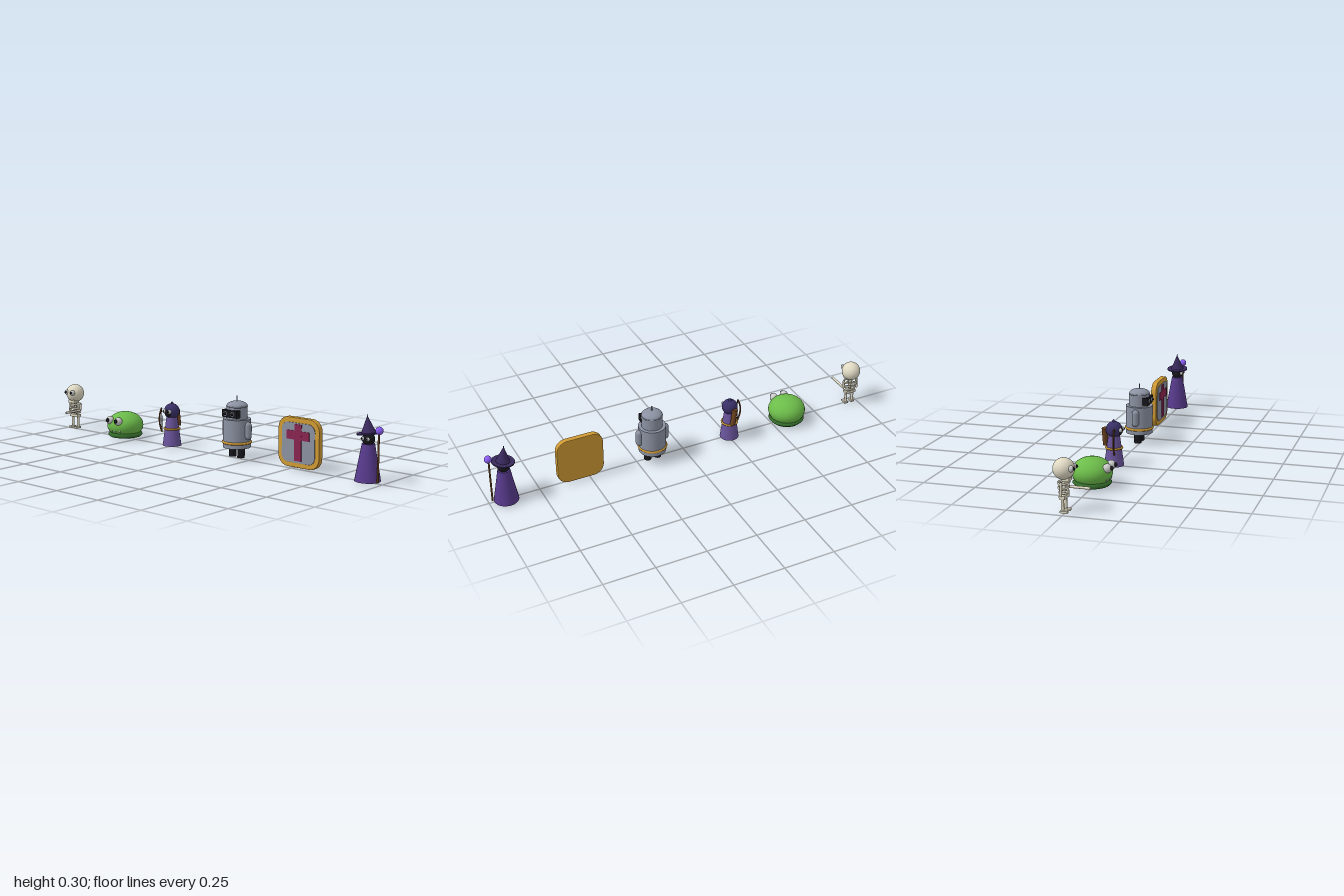
import * as THREE from 'three';

const C = {
  bone: 0xe0dac4, green: 0x6cbc4a, darkGreen: 0x35702c, robe: 0x573a8c, hat: 0x3a2a5e, cloak: 0x6a549c,
  hood: 0x3a3068, gold: 0xd09a34, steel: 0x8c92a2, red: 0x8a2450, black: 0x17171c, brown: 0x6e4420,
  orb: 0x8a5cf0, white: 0xe6e6e6,
};
const mats = {};
const mat = (c) => (mats[c] ??= new THREE.MeshStandardMaterial({ color: C[c] }));

// Adds a named mesh at a position
function add(group, name, geo, color, x = 0, y = 0, z = 0) {
  const m = new THREE.Mesh(geo, mat(color));
  m.name = name;
  m.position.set(x, y, z);
  group.add(m);
  return m;
}
const ball = (r) => new THREE.SphereGeometry(r, 28, 18);
const tube = (rTop, rBottom, h, n = 24) => new THREE.CylinderGeometry(rTop, rBottom, h, n);
const ring = (R, r) => new THREE.TorusGeometry(R, r, 10, 36).rotateX(Math.PI / 2);

function figure(name, x) {
  const g = new THREE.Group();
  g.name = name;
  g.position.set(x, 0, -0.007);
  return g;
}

// Pair of round eyes with raised pupils
function eyes(g, dx, y, z, r) {
  for (const s of [-1, 1]) {
    add(g, 'eye', ball(r), 'white', s * dx, y, z);
    add(g, 'pupil', ball(r * 0.5), 'black', s * dx, y + r * 0.1, z + r * 0.85);
  }
}

function skeleton() {
  const g = figure('skeleton', -0.953);
  add(g, 'skull', ball(0.047), 'bone', 0, 0.191);
  add(g, 'jaw', new THREE.BoxGeometry(0.042, 0.018, 0.035), 'bone', 0, 0.149, 0.012);
  eyes(g, 0.02, 0.198, 0.038, 0.014);
  add(g, 'spine', tube(0.007, 0.007, 0.09, 12), 'bone', 0, 0.11);
  [0.036, 0.033, 0.029].forEach((R, i) => {
    const rib = add(g, 'rib', ring(R, 0.005), 'bone', 0, 0.132 - i * 0.021);
    rib.scale.z = 0.65;
  });
  add(g, 'pelvis', new THREE.BoxGeometry(0.058, 0.014, 0.026), 'bone', 0, 0.071);
  for (const s of [-1, 1]) {
    add(g, 'leg', tube(0.007, 0.007, 0.062, 12), 'bone', s * 0.019, 0.036);
    add(g, 'foot', new THREE.BoxGeometry(0.02, 0.009, 0.034), 'bone', s * 0.019, 0.0085, 0.006);
  }
  // Right arm hangs, left arm reaches forward
  const arm = add(g, 'rightArm', tube(0.006, 0.006, 0.06, 12), 'bone', -0.04, 0.112);
  arm.rotation.z = -0.12;
  add(g, 'leftUpperArm', tube(0.006, 0.006, 0.036, 12), 'bone', 0.039, 0.12);
  const fore = add(g, 'leftForearm', tube(0.006, 0.006, 0.105, 12), 'bone', 0.038, 0.102, 0.052);
  fore.rotation.x = Math.PI / 2;
  return g;
}

function slime() {
  const g = figure('slime', -0.58);
  add(g, 'body', ball(0.093), 'green', 0, 0.068).scale.y = 0.73;
  // Coarse six-sided rim around the base
  const rim = new THREE.TorusGeometry(0.068, 0.021, 6, 40).rotateX(Math.PI / 2);
  add(g, 'baseRim', rim, 'darkGreen', 0, 0.021).scale.y = 0.65;
  eyes(g, 0.029, 0.098, 0.08, 0.021);
  for (const x of [-0.036, -0.012, 0.012, 0.036]) {
    const z = Math.sqrt(0.085 ** 2 - x * x);
    add(g, 'tooth', new THREE.ConeGeometry(0.006, 0.016, 10).rotateX(Math.PI), 'white', x, 0.042, z);
  }
  return g;
}

function archer() {
  const g = figure('archer', -0.253);
  add(g, 'cloak', tube(0.027, 0.047, 0.145), 'cloak', 0, 0.077);
  add(g, 'belt', ring(0.038, 0.005), 'gold', 0, 0.09);
  add(g, 'hood', ball(0.039), 'hood', 0, 0.177);
  add(g, 'hoodPeak', new THREE.ConeGeometry(0.022, 0.03, 24), 'hood', 0, 0.212, -0.002);
  add(g, 'face', ball(0.028), 'black', 0, 0.174, 0.014);
  eyes(g, 0.016, 0.179, 0.036, 0.01);
  // Quiver on the back
  const quiver = add(g, 'quiver', tube(0.014, 0.012, 0.085), 'brown', 0, 0.14, -0.044);
  quiver.rotation.z = 0.15;
  // Bow held at the right side
  const curve = new THREE.QuadraticBezierCurve3(
    new THREE.Vector3(0, 0.062, 0), new THREE.Vector3(-0.034, 0, 0), new THREE.Vector3(0, -0.062, 0));
  add(g, 'bow', new THREE.TubeGeometry(curve, 24, 0.0042, 8), 'brown', -0.052, 0.13, 0.017);
  add(g, 'bowString', tube(0.0015, 0.0015, 0.124, 6), 'black', -0.052, 0.13, 0.017);
  return g;
}

function robot() {
  const g = figure('robot', 0.168);
  add(g, 'body', tube(0.067, 0.067, 0.139, 32), 'steel', 0, 0.1235);
  add(g, 'belt', ring(0.066, 0.0065), 'gold', 0, 0.08);
  add(g, 'head', tube(0.051, 0.051, 0.064, 32), 'steel', 0, 0.222);
  add(g, 'headBand', ring(0.05, 0.0025), 'steel', 0, 0.252);
  const dome = new THREE.SphereGeometry(0.051, 32, 10, 0, Math.PI * 2, 0, Math.PI / 2);
  add(g, 'dome', dome, 'steel', 0, 0.253).scale.y = 0.48;
  add(g, 'antenna', tube(0.003, 0.003, 0.026, 10), 'steel', 0, 0.288);
  add(g, 'visor', new THREE.BoxGeometry(0.088, 0.036, 0.03), 'black', 0, 0.221, 0.042);
  for (const s of [-1, 1]) {
    const eye = add(g, 'eye', tube(0.011, 0.011, 0.01), 'steel', s * 0.022, 0.221, 0.057);
    eye.rotation.x = Math.PI / 2;
    add(g, 'pupil', ball(0.007), 'black', s * 0.022, 0.221, 0.062);
    add(g, 'arm', new THREE.CapsuleGeometry(0.018, 0.05, 6, 16), 'steel', s * 0.068, 0.14);
    add(g, 'leg', tube(0.018, 0.018, 0.052), 'black', s * 0.026, 0.031);
  }
  return g;
}

// Rounded square plate, centred on its depth
function plate(size, radius, depth, bevel) {
  const h = size / 2 - bevel, r = radius - bevel, s = new THREE.Shape();
  s.absarc(h - r, h - r, r, 0, Math.PI / 2);
  s.absarc(r - h, h - r, r, Math.PI / 2, Math.PI);
  s.absarc(r - h, r - h, r, Math.PI, Math.PI * 1.5);
  s.absarc(h - r, r - h, r, Math.PI * 1.5, Math.PI * 2);
  return new THREE.ExtrudeGeometry(s, {
    depth: depth - 2 * bevel, bevelSize: bevel, bevelThickness: bevel, bevelSegments: 2, curveSegments: 10,
  }).translate(0, 0, bevel - depth / 2);
}

function shield() {
  const g = figure('shield', 0.545);
  add(g, 'shieldRim', plate(0.234, 0.055, 0.028, 0.004), 'gold', 0, 0.125);
  add(g, 'shieldPanel', plate(0.188, 0.036, 0.006, 0.001), 'steel', 0, 0.125, 0.014);
  add(g, 'crossUpright', new THREE.BoxGeometry(0.04, 0.172, 0.006), 'red', 0, 0.127, 0.017);
  add(g, 'crossBar', new THREE.BoxGeometry(0.128, 0.042, 0.0058), 'red', 0, 0.161, 0.017);
  return g;
}

function wizard() {
  const g = figure('wizard', 0.917);
  add(g, 'robe', tube(0.029, 0.059, 0.168, 32), 'robe', 0, 0.089);
  add(g, 'head', ball(0.029), 'black', 0, 0.193);
  eyes(g, 0.013, 0.197, 0.026, 0.009);
  // Pointed hat, tipped slightly to one side
  const hat = new THREE.Group();
  hat.name = 'hat';
  hat.position.y = 0.219;
  hat.rotation.z = 0.12;
  g.add(hat);
  add(hat, 'hatBrim', tube(0.054, 0.054, 0.006, 32), 'hat');
  add(hat, 'hatCone', new THREE.ConeGeometry(0.033, 0.076, 32), 'hat', 0, 0.041);
  add(hat, 'hatTip', tube(0.001, 0.003, 0.014, 8), 'hat', 0, 0.077);
  add(g, 'staff', tube(0.0045, 0.0045, 0.225, 12), 'brown', 0.063, 0.118, 0.015);
  add(g, 'staffOrb', ball(0.018), 'orb', 0.065, 0.24, 0.015);
  return g;
}

export function createModel() {
  const model = new THREE.Group();
  model.name = 'figureSet';
  model.add(skeleton(), slime(), archer(), robot(), shield(), wizard());
  return model;
}
